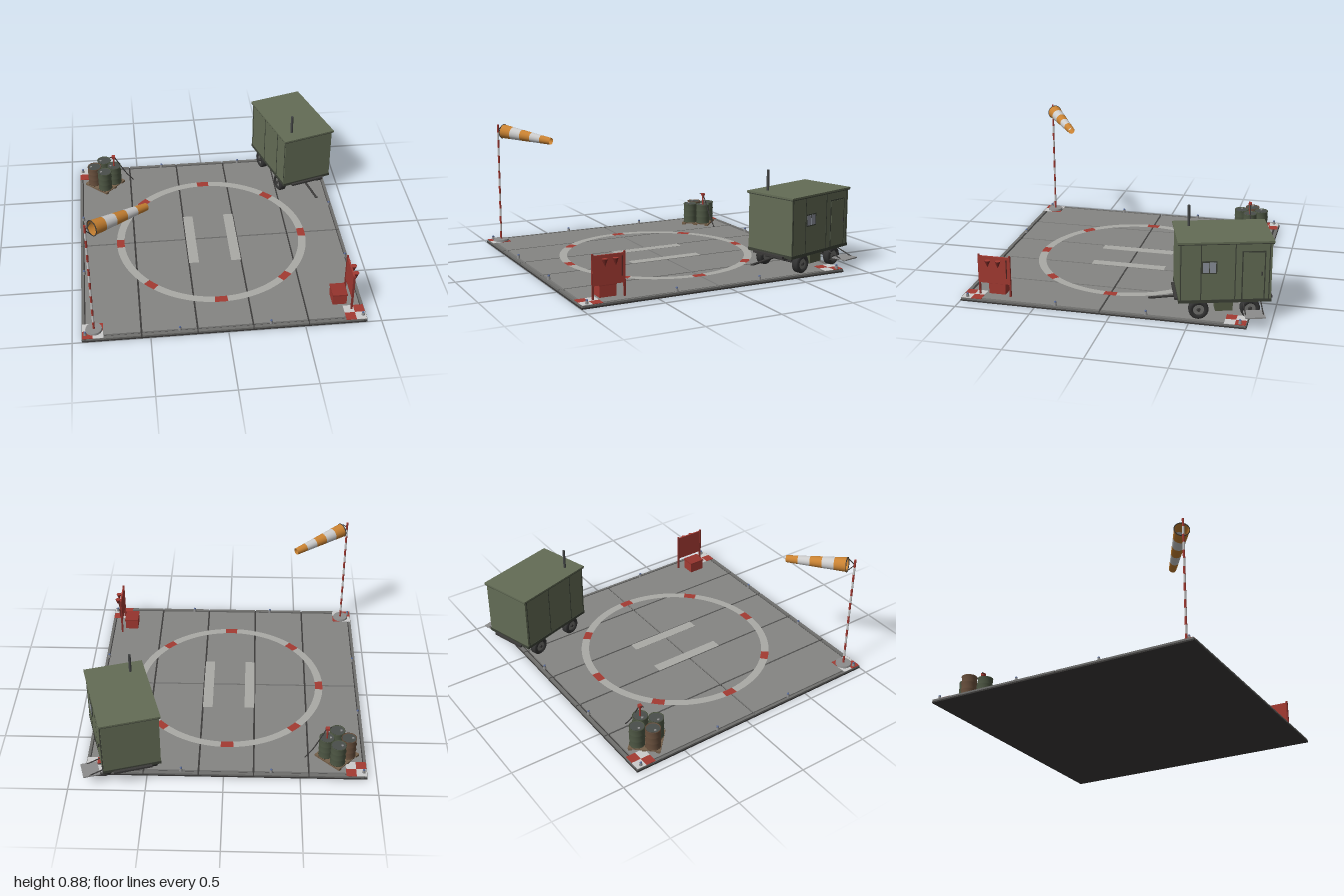
import * as THREE from 'three';

const mats = {};
const mat = (color, double) => mats[color + '_' + !!double] ??= new THREE.MeshStandardMaterial({
  color, side: double ? THREE.DoubleSide : THREE.FrontSide });
const RED = 0xa33a32, WHITE = 0xc4c4c0, PAINT = 0xaaaaa6, DECK = 0x858583, CURB = 0x6f6f6d, DARK = 0x3b3a39,
  OLIVE = 0x636c55, TRIM = 0x3c4136, STEEL = 0x8d8d8d, RUBBER = 0x333333, ORANGE = 0xc98232;
const TOP = 0.022; // walking surface height

function add(parent, name, geo, color, x = 0, y = 0, z = 0, double = false) {
  const m = new THREE.Mesh(geo, mat(color, double));
  m.name = name;
  m.position.set(x, y, z);
  parent.add(m);
  return m;
}
const box = (p, name, w, h, d, color, x, y, z) => add(p, name, new THREE.BoxGeometry(w, h, d), color, x, y, z);
const cyl = (p, name, r1, r2, h, color, x, y, z, n = 16) =>
  add(p, name, new THREE.CylinderGeometry(r1, r2, h, n), color, x, y, z);
// Thin rod between two points
function rod(p, name, a, b, r, color) {
  const path = new THREE.LineCurve3(new THREE.Vector3(...a), new THREE.Vector3(...b));
  return add(p, name, new THREE.TubeGeometry(path, 1, r, 8), color, 0, 0, 0, true);
}
function group(parent, name, x = 0, y = 0, z = 0) {
  const g = new THREE.Group();
  g.name = name;
  g.position.set(x, y, z);
  parent.add(g);
  return g;
}

// Landing pad: dark base, 5 x 2 slabs, curb, painted marks and edge lamps; centred on its own origin
function buildPad(parent) {
  const pad = group(parent, 'landingPad', -0.016, 0, 0.07);
  box(pad, 'base', 1.845, 0.01, 1.86, DARK, 0, 0.005, 0);
  for (let i = 0; i < 5; i++) {
    const x = (i - 2) * 0.361;
    for (const s of [-1, 1]) {
      box(pad, 'slab', 0.349, TOP - 0.004, 0.443, DECK, x, TOP / 2 + 0.002, s * 0.2275);
      box(pad, 'slab', 0.349, TOP - 0.004, 0.443, DECK, x, TOP / 2 + 0.002, s * 0.6705);
      box(pad, 'curb', 0.353, 0.016, 0.022, CURB, x, 0.014, s * 0.917);
    }
  }
  for (const s of [-1, 1]) for (const t of [-1, 1])
    box(pad, 'curb', 0.018, 0.016, 0.922, CURB, s * 0.913, 0.014, t * 0.465);

  // Broken circle with eight red dashes
  const half = 0.066;
  for (let i = 0; i < 8; i++) {
    const a = i * Math.PI / 4;
    for (const [name, start, len, color] of [['redDash', a - half, half * 2, RED],
      ['circleArc', a + half, Math.PI / 4 - half * 2, PAINT]]) {
      const arc = add(pad, name, new THREE.RingGeometry(0.615, 0.668, 14, 1, start, len), color, 0, TOP + 0.0015, 0, true);
      arc.rotation.x = -Math.PI / 2;
    }
  }
  // Pair of touchdown bars
  for (const s of [-1, 1]) box(pad, 'touchdownBar', 0.068, 0.002, 0.515, PAINT, s * 0.146, TOP + 0.0005, 0);

  // Checkered corners and lamps
  for (const sx of [-1, 1]) for (const sz of [-1, 1]) {
    for (const i of [-1, 1]) for (const j of [-1, 1])
      box(pad, 'cornerCheck', 0.067, 0.003, 0.067, i === j ? WHITE : RED,
        sx * 0.852 + i * 0.0335, TOP + 0.0012, sz * 0.857 + j * 0.0335);
    lamp(pad, sx * 0.9, sz * 0.888);
    lamp(pad, sx * 0.295, sz * 0.9);
    lamp(pad, sx * 0.9, sz * 0.295);
  }
}
function lamp(parent, x, z) {
  const g = group(parent, 'edgeLamp', x, TOP, z);
  cyl(g, 'lampBase', 0.008, 0.012, 0.022, STEEL, 0, 0.011, 0, 8);
  add(g, 'lampLens', new THREE.SphereGeometry(0.008, 10, 6), 0x5a6c99, 0, 0.024, 0);
}

// Wind sock on a striped mast
function buildWindsock(parent) {
  const g = group(parent, 'windsock', -0.86, 0, 0.915);
  cyl(g, 'mastFoot', 0.052, 0.056, 0.016, STEEL, 0, TOP + 0.008, 0, 20);
  const n = 15, h = 0.84 / n;
  for (let i = 0; i < n; i++)
    cyl(g, 'mastStripe', 0.0075, 0.0075, h, i % 2 ? WHITE : RED, 0, 0.038 + (i + 0.5) * h, 0, 10);

  const start = new THREE.Vector3(0.04, 0.832, -0.028), end = new THREE.Vector3(0.378, 0.788, -0.262);
  const dir = end.clone().sub(start), len = dir.length();
  const sock = group(g, 'sock', ...start.toArray());
  sock.quaternion.setFromUnitVectors(new THREE.Vector3(0, 1, 0), dir.normalize());
  const radius = t => 0.049 - 0.025 * t;
  for (let i = 0; i < 5; i++) {
    const cone = new THREE.CylinderGeometry(radius((i + 1) / 5), radius(i / 5), len / 5, 20, 1, true);
    add(sock, 'sockBand', cone, i % 2 ? WHITE : ORANGE, 0, (i + 0.5) * len / 5, 0, true);
  }
  const hoop = add(sock, 'sockHoop', new THREE.TorusGeometry(0.049, 0.003, 6, 24), DARK);
  hoop.rotation.x = Math.PI / 2;
  for (const dy of [-0.045, 0.045]) rod(g, 'sockArm', [0, 0.84, 0], [0.035, 0.832 + dy, -0.025], 0.003, DARK);
}

// Four ribbed drums on a pallet with a hand pump
function buildDrums(parent) {
  const g = group(parent, 'fuelDrums', -0.748, TOP, -0.662);
  const pallet = group(g, 'pallet');
  pallet.rotation.y = -0.75;
  for (let i = 0; i < 5; i++) box(pallet, 'palletBoard', 0.036, 0.006, 0.21, 0x75604a, (i - 2) * 0.0435, 0.013, 0);
  for (let i = -1; i <= 1; i++) box(pallet, 'palletRunner', 0.21, 0.01, 0.025, 0x75604a, 0, 0.005, i * 0.09);

  const outline = [[0, 0.14], [0.046, 0.14], [0.047, 0.146], [0.051, 0.146], [0.051, 0.14], [0.049, 0.137],
    [0.049, 0.1], [0.052, 0.097], [0.049, 0.094], [0.049, 0.053], [0.052, 0.05], [0.049, 0.047],
    [0.049, 0.007], [0.051, 0.004], [0.051, 0], [0, 0]].reverse();
  const drum = new THREE.LatheGeometry(outline.map(p => new THREE.Vector2(...p)), 24);
  for (const [x, z, color] of [[0.073, 0, 0x4e5744], [-0.073, 0, 0x69503d], [0, 0.073, 0x4e5744], [0, -0.073, 0x4e5744]]) {
    add(g, 'drum', drum, color, x, 0.016, z, true);
    cyl(g, 'drumLid', 0.046, 0.046, 0.002, 0x4a4e4b, x, 0.157, z, 24);
    cyl(g, 'drumCap', 0.008, 0.008, 0.006, STEEL, x - 0.025, 0.16, z, 10);
  }
  cyl(g, 'pumpPipe', 0.006, 0.006, 0.08, RED, 0.073, 0.195, 0, 10);
  box(g, 'pumpHead', 0.026, 0.018, 0.022, RED, 0.073, 0.238, 0);
  rod(g, 'pumpHandle', [0.073, 0.238, 0], [0.045, 0.242, 0.012], 0.003, DARK);
  const hose = new THREE.CatmullRomCurve3([[0.08, 0.235, 0], [0.115, 0.165, -0.008], [0.165, 0.07, -0.018], [0.213, 0.004, -0.024]]
    .map(p => new THREE.Vector3(...p)));
  add(g, 'pumpHose', new THREE.TubeGeometry(hose, 16, 0.004, 8), DARK, 0, 0, 0, true);
}

// Fire point: board on two posts, cone buckets, hook bar and sand box
function buildFirePoint(parent) {
  const g = group(parent, 'firePoint', 0.822, TOP, 0.79);
  box(g, 'board', 0.01, 0.185, 0.215, RED, 0, 0.178, 0);
  for (const s of [-1, 1]) {
    box(g, 'post', 0.013, 0.28, 0.011, 0x8b322c, -0.002, 0.14, s * 0.104);
    const bucket = cyl(g, 'coneBucket', 0.019, 0.001, 0.045, 0x7c2a25, 0.027, 0.228, s * 0.035, 16);
    bucket.rotation.z = 0.05;
    cyl(g, 'bucketTop', 0.017, 0.017, 0.002, RED, 0.026, 0.2505, s * 0.035, 16);
  }
  rod(g, 'hookBar', [0.01, 0.13, -0.085], [0.01, 0.255, -0.085], 0.004, 0x5c2a26);
  box(g, 'sandBox', 0.093, 0.072, 0.112, RED, -0.07, 0.036, -0.005);
  box(g, 'sandBoxLid', 0.099, 0.01, 0.118, 0x95342d, -0.07, 0.077, -0.005);
}

// Cabin trailer; long axis on local z, door on local +x
function buildTrailer(parent) {
  const g = group(parent, 'cabinTrailer', 0.66, 0, -0.661);
  g.rotation.y = 0.29;
  box(g, 'cabin', 0.37, 0.375, 0.57, OLIVE, 0, 0.338, 0);
  box(g, 'roof', 0.391, 0.012, 0.591, OLIVE, 0, 0.53, 0);
  box(g, 'roofEdge', 0.386, 0.006, 0.586, TRIM, 0, 0.521, 0);
  box(g, 'floorFrame', 0.376, 0.02, 0.576, TRIM, 0, 0.145, 0);
  for (const s of [-1, 1]) {
    for (const z of [-0.27, -0.06, 0.15, 0.275]) box(g, 'wallSeam', 0.004, 0.365, 0.006, TRIM, s * 0.185, 0.338, z);
    box(g, 'chassisRail', 0.03, 0.025, 0.54, DARK, s * 0.09, 0.124, 0);
    box(g, 'endBeam', 0.25, 0.014, 0.025, DARK, 0, 0.138, s * 0.293);
    const axle = cyl(g, 'axle', 0.01, 0.01, 0.3, DARK, 0, 0.084, s * 0.16, 8);
    axle.rotation.z = Math.PI / 2;
    box(g, 'axleSpring', 0.2, 0.03, 0.05, DARK, 0, 0.105, s * 0.16);
    for (const t of [-1, 1]) wheel(g, t, s * 0.16);
  }
  // Door with frame and handle
  box(g, 'doorFrame', 0.006, 0.318, 0.145, TRIM, 0.186, 0.312, -0.172);
  box(g, 'door', 0.008, 0.305, 0.13, OLIVE, 0.187, 0.31, -0.172);
  box(g, 'doorHandle', 0.012, 0.025, 0.007, DARK, 0.194, 0.325, -0.222);
  // Window with two panes
  box(g, 'windowFrame', 0.008, 0.082, 0.095, TRIM, 0.187, 0.37, 0.1);
  for (const s of [-1, 1]) box(g, 'windowPane', 0.01, 0.066, 0.038, 0x8d929c, 0.1875, 0.37, 0.1 + s * 0.021);
  // Stove pipe
  cyl(g, 'stovePipe', 0.009, 0.009, 0.14, 0x444646, -0.1, 0.603, 0.2, 12);
  // Hanging door step
  box(g, 'stepPlate', 0.11, 0.008, 0.125, STEEL, 0.26, 0.084, -0.172);
  for (const s of [-1, 1]) {
    rod(g, 'stepBracket', [0.14, 0.13, -0.172 + s * 0.055], [0.3, 0.076, -0.172 + s * 0.055], 0.004, DARK);
    rod(g, 'stepBrace', [0.16, 0.06, -0.172 + s * 0.055], [0.26, 0.08, -0.172 + s * 0.055], 0.004, DARK);
  }
  // Under-floor box and tow bar
  box(g, 'storageBox', 0.08, 0.075, 0.11, 0x545b45, 0.11, 0.1, 0);
  rod(g, 'towBar', [0, 0.115, 0.16], [0, 0.097, 0.44], 0.008, DARK);
  const eye = add(g, 'towEye', new THREE.TorusGeometry(0.009, 0.004, 6, 14), DARK, 0, 0.097, 0.45);
  eye.rotation.x = Math.PI / 2;
}
function wheel(parent, side, z) {
  const g = group(parent, 'wheel', side * 0.155, 0.084, z);
  g.rotation.z = -side * Math.PI / 2; // local +y points outward
  const tyre = [[0.036, -0.024], [0.054, -0.025], [0.062, -0.017], [0.062, 0.017], [0.054, 0.025], [0.036, 0.024], [0.034, 0.012]];
  add(g, 'tyre', new THREE.LatheGeometry(tyre.map(p => new THREE.Vector2(...p)), 24), RUBBER, 0, 0, 0, true);
  cyl(g, 'rim', 0.036, 0.036, 0.032, 0x72726f, 0, 0, 0, 20);
  cyl(g, 'hub', 0.01, 0.014, 0.014, DARK, 0, 0.02, 0, 10);
}

export function createModel() {
  const model = new THREE.Group();
  model.name = 'fieldLandingPad';
  buildPad(model);
  buildWindsock(model);
  buildDrums(model);
  buildFirePoint(model);
  buildTrailer(model);
  return model;
}
